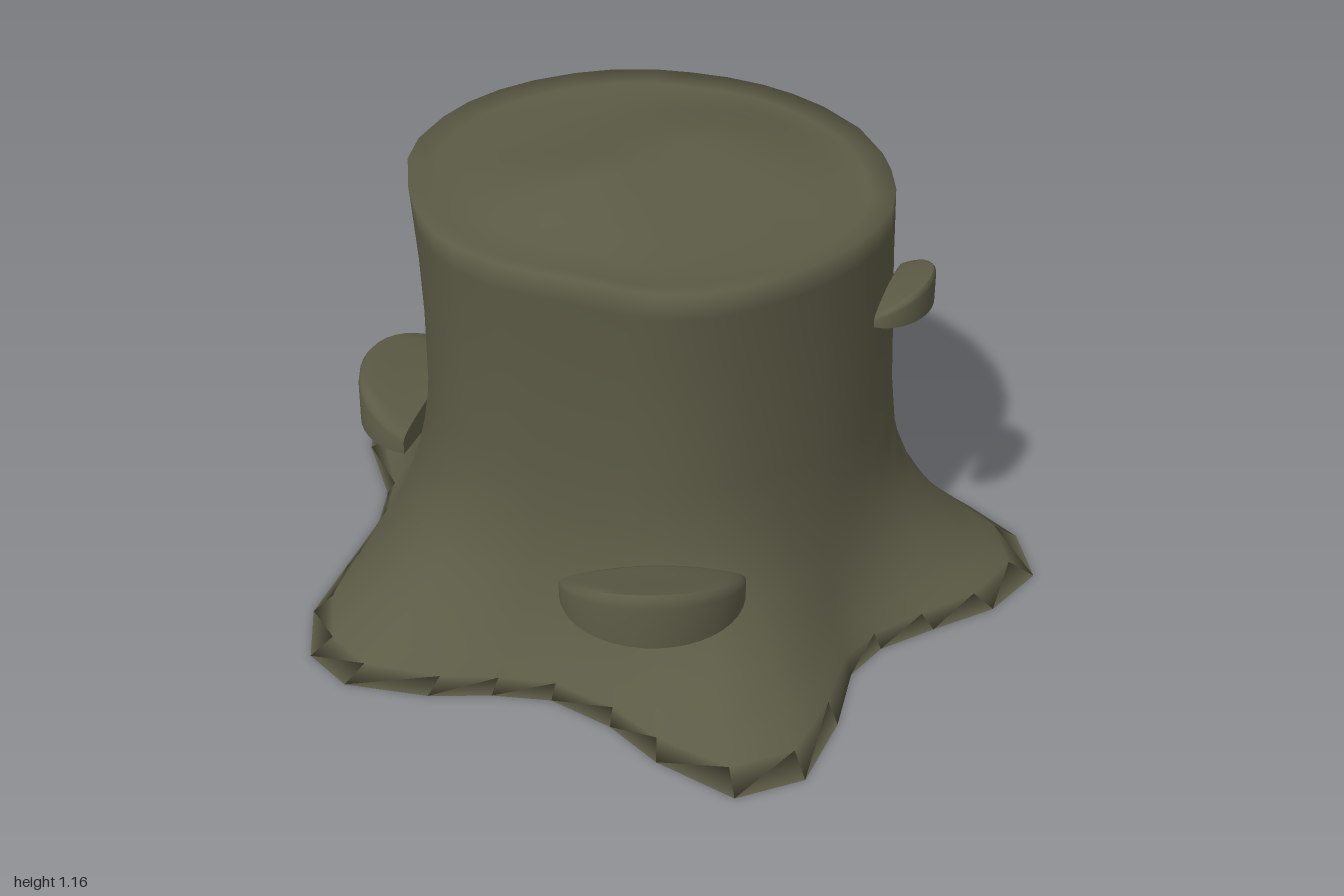
import * as THREE from 'three';
import { mergeVertices, toCreasedNormals } from 'three/addons/utils/BufferGeometryUtils.js';

// Closed skin through equal-length loops, ordered from the underside to the top
function loft(rings) {
  const n = rings[0].length, index = [];
  for (let j = 0; j < rings.length - 1; j++) {
    for (let i = 0; i < n; i++) {
      const a = j * n + i, b = j * n + (i + 1) % n;
      index.push(a, a + n, b, b, a + n, b + n);
    }
  }
  const geo = new THREE.BufferGeometry();
  geo.setAttribute('position', new THREE.Float32BufferAttribute(rings.flat(2), 3));
  geo.setIndex(index);
  return geo;
}

// Outline of the spreading roots on the ground (x, z)
const ROOTS = [
  [-0.15, -1], [0.03, -0.975], [0.17, -0.82], [0.28, -0.67], [0.38, -0.6], [0.58, -0.6], [0.77, -0.6],
  [0.945, -0.505], [0.945, -0.31], [0.85, -0.14], [0.78, 0.02], [0.765, 0.22], [0.8, 0.48], [0.79, 0.65],
  [0.69, 0.8], [0.5, 0.83], [0.32, 0.79], [0.16, 0.76], [0.03, 0.785], [-0.13, 0.9], [-0.33, 0.995],
  [-0.5, 0.935], [-0.555, 0.72], [-0.555, 0.55], [-0.6, 0.38], [-0.7, 0.27], [-0.82, 0.17], [-0.95, 0],
  [-0.95, -0.15], [-0.84, -0.3], [-0.66, -0.41], [-0.48, -0.52], [-0.38, -0.62], [-0.28, -0.84],
];
// Trunk radius every 30 degrees, from +x towards +z
const RADII = [0.595, 0.6, 0.62, 0.615, 0.63, 0.572, 0.595, 0.585, 0.605, 0.615, 0.615, 0.6];
// How far each height leans from the trunk outline to the root outline: y, weight
const FLARE = [
  [0, 1], [0.035, 0.84], [0.07, 0.69], [0.1, 0.57], [0.15, 0.42], [0.2, 0.31], [0.26, 0.2],
  [0.33, 0.12], [0.42, 0.06], [0.55, 0.025], [0.75, 0.01], [0.9, 0], [1.03, 0], [1.1, 0],
];

function trunkPoint([x, z]) {
  const t = ((Math.atan2(z, x) / (Math.PI * 2) + 1) % 1) * 12;
  const i = Math.floor(t) % 12;
  const f = (1 - Math.cos((t - Math.floor(t)) * Math.PI)) / 2;
  const r = THREE.MathUtils.lerp(RADII[i], RADII[(i + 1) % 12], f) / Math.hypot(x, z);
  return [0.025 + x * r, 0.005 + z * r];
}

function stumpGeometry() {
  const trunk = ROOTS.map(trunkPoint);
  // Underside fan, barely hollow
  const rings = [ROOTS.map(() => [0.03, 0.04, -0.03])];
  // Flared wall, leaning a little to the left at mid height
  for (const [y, w] of FLARE) {
    const bow = Math.sin((y / 1.1) * Math.PI);
    rings.push(trunk.map(([x, z], i) => [
      THREE.MathUtils.lerp(x + 0.03 * bow, ROOTS[i][0], w), y,
      THREE.MathUtils.lerp(z * (1 - 0.035 * bow), ROOTS[i][1], w),
    ]));
  }
  // Cut face: a shallow groove inside the rim and a low ridge in the middle
  for (const s of [0.9, 0.76, 0.62, 0.46, 0.3, 0.15, 0]) {
    rings.push(trunk.map(([tx, tz]) => {
      const x = 0.025 + (tx - 0.025) * s, z = 0.02 + (tz - 0.02) * s;
      const q = Math.hypot(Math.max(0, Math.abs(x - 0.025) - 0.17), z - 0.02);
      return [x, Math.max(1.087, 1.169 - 0.235 * Math.hypot(q, 0.04)), z];
    }));
  }
  const geo = mergeVertices(loft(rings));
  geo.computeVertexNormals();
  return geo;
}

// Half-round shelf fungus: flat below, top sloping up from the chord to a thick outer rim
function bracketGeometry({ x, y, z, dir, width, depth, height }) {
  const len = Math.hypot(...dir), ox = dir[0] / len, oz = dir[1] / len;
  const outline = [];
  for (let i = 0; i <= 20; i++) {
    const a = (i / 20) * Math.PI;
    outline.push([-Math.cos(a), Math.sin(a)]);
  }
  for (let i = 1; i < 8; i++) outline.push([1 - i / 4, 0]);
  const ring = (s, h) => outline.map(([u, v]) => {
    const pu = u * s, pv = v * s;
    const k = pv + 0.3 * Math.max(0, 1 - pu * pu - pv * pv) * (1 - pv);
    const a = pu * width, b = pv * depth;
    return [x - oz * a + ox * b, y + height * h * (0.3 + 0.7 * k), z + ox * a + oz * b];
  });
  const rings = [ring(0, 0), ring(1, 0), ring(1, 0.75), ring(0.985, 0.9), ring(0.94, 1),
    ring(0.82, 1.03), ring(0.55, 1), ring(0.25, 1), ring(0, 1)];
  return toCreasedNormals(mergeVertices(loft(rings)), 0.9);
}

const BRACKETS = [
  { name: 'frontRightBracket', x: -0.378, y: 0.29, z: 0.5, dir: [-0.62, 0.78], width: 0.225, depth: 0.22, height: 0.15 },
  { name: 'backRightBracket', x: -0.27, y: 0.29, z: -0.5, dir: [-0.5, -0.87], width: 0.24, depth: 0.21, height: 0.155 },
  { name: 'backLeftBracket', x: 0.517, y: 0.52, z: -0.38, dir: [0.72, -0.7], width: 0.195, depth: 0.13, height: 0.12 },
  { name: 'frontLeftBracket', x: 0.335, y: 0.86, z: 0.55, dir: [0.51, 0.86], width: 0.145, depth: 0.11, height: 0.09 },
];

export function createModel() {
  const bark = new THREE.MeshStandardMaterial({ color: 0x5c5b46 });
  bark.name = 'bark';
  const group = new THREE.Group();
  group.name = 'treeStump';
  const add = (name, geo) => {
    const mesh = new THREE.Mesh(geo, bark);
    mesh.name = name;
    group.add(mesh);
  };
  add('stump', stumpGeometry());
  for (const b of BRACKETS) add(b.name, bracketGeometry(b));
  return group;
}
